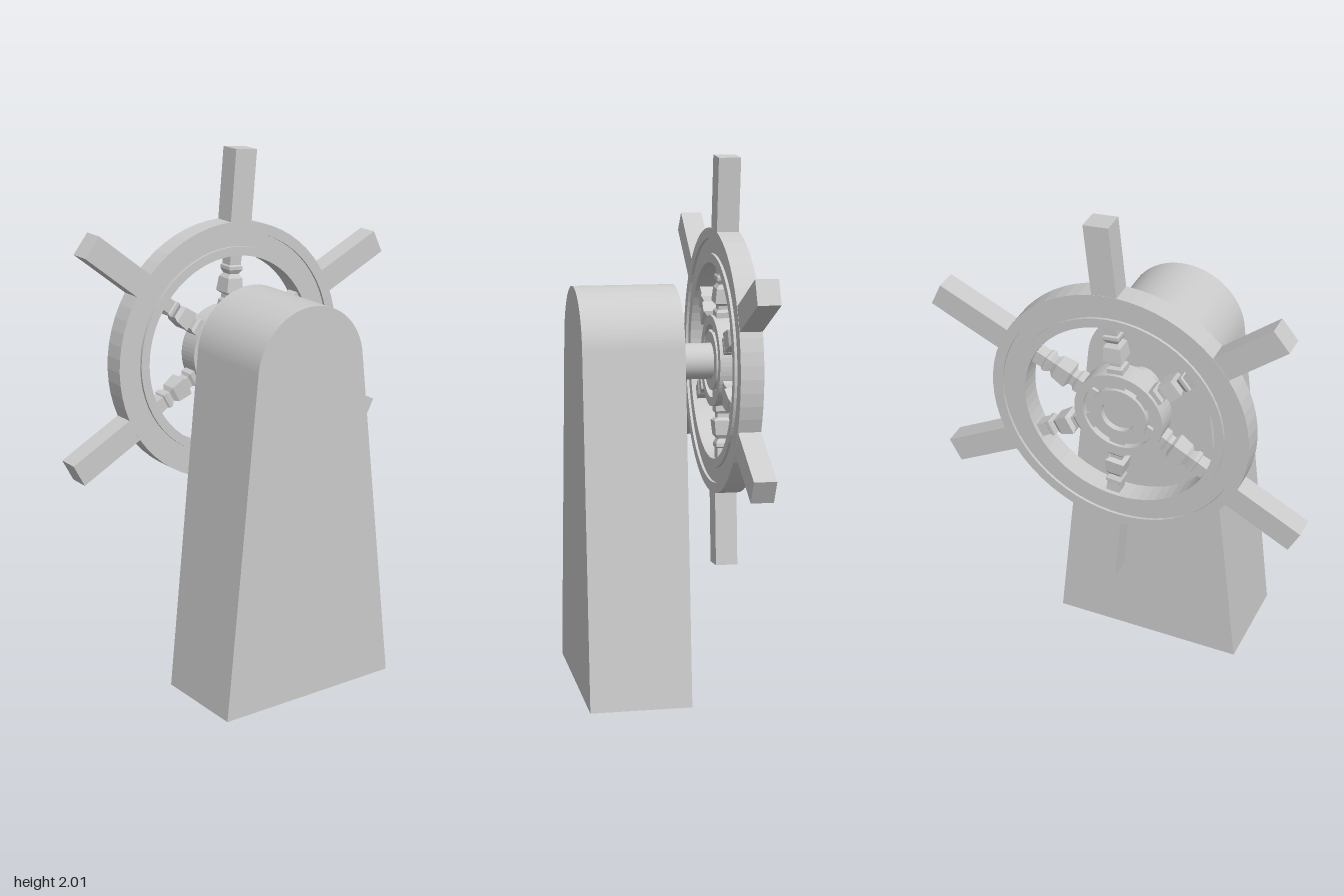
import * as THREE from 'three';

const material = new THREE.MeshStandardMaterial({ color: 0xcccccc });
const flatMaterial = new THREE.MeshStandardMaterial({ color: 0xcccccc, flatShading: true });
const rad = THREE.MathUtils.degToRad;

function add(parent, name, geometry, mat = material) {
  const mesh = new THREE.Mesh(geometry, mat);
  mesh.name = name;
  parent.add(mesh);
  return mesh;
}

// Flat ring around the z axis, centred on z = 0
function ring(inner, outer, depth) {
  const shape = new THREE.Shape().absarc(0, 0, outer, 0, Math.PI * 2);
  shape.holes.push(new THREE.Path().absarc(0, 0, inner, 0, Math.PI * 2, true));
  return new THREE.ExtrudeGeometry(shape, { depth, bevelEnabled: false, curveSegments: 32 })
    .translate(0, 0, -depth / 2);
}

// Square-section turned spoke along +x; profile holds [half width, distance from hub]
function spokeGeometry() {
  const profile = [
    [0.03, 0.1], [0.03, 0.19], [0.022, 0.2], [0.022, 0.215], [0.037, 0.225],
    [0.032, 0.28], [0.021, 0.295], [0.03, 0.312], [0.03, 0.325], [0.025, 0.33], [0.027, 0.39],
  ].map(([w, d]) => new THREE.Vector2(w * Math.SQRT2, d));
  return new THREE.LatheGeometry(profile, 4).rotateY(Math.PI / 4).rotateZ(-Math.PI / 2);
}

export function createModel() {
  const model = new THREE.Group();
  model.name = 'shipWheelOnStand';

  // Tapered stand with a rounded top
  const lean = 0.11, r = 0.235, cy = 1.29;
  const outline = new THREE.Shape();
  outline.moveTo(-0.378, 0);
  outline.lineTo(0.378, 0);
  outline.absarc(0, cy, r, lean, Math.PI - lean);
  outline.closePath();
  const stand = add(model, 'stand',
    new THREE.ExtrudeGeometry(outline, { depth: 0.38, bevelEnabled: false, curveSegments: 32 }));
  stand.position.set(-0.034, 0, -0.075);

  // Axle between stand and wheel
  const axle = add(model, 'axle',
    new THREE.CylinderGeometry(0.068, 0.068, 0.21, 32).rotateX(Math.PI / 2));
  axle.position.set(-0.02, 1.235, -0.16);

  const wheel = new THREE.Group();
  wheel.name = 'wheel';
  wheel.position.set(-0.02, 1.235, -0.258);
  model.add(wheel);

  // Rim: two full-depth bands with a shallow groove between
  add(wheel, 'rimOuterBand', ring(0.46, 0.5, 0.085));
  add(wheel, 'rimGroove', ring(0.405, 0.46, 0.065));
  add(wheel, 'rimInnerBand', ring(0.37, 0.405, 0.085));

  // Hub: raised rings around a recessed centre
  add(wheel, 'hubOuterRing', ring(0.138, 0.172, 0.085));
  add(wheel, 'hubWeb', ring(0.105, 0.138, 0.035));
  add(wheel, 'hubInnerRing', ring(0.066, 0.11, 0.085));
  add(wheel, 'hubCentre',
    new THREE.CylinderGeometry(0.067, 0.067, 0.04, 32).rotateX(Math.PI / 2));

  // Six slightly uneven arms: turned spoke inside, square handle outside
  const spoke = spokeGeometry();
  const arms = [[84.4, 0.77], [25, 0.785], [-28.2, 0.773], [-85, 0.773], [207.8, 0.773], [141, 0.77]];
  for (const [angle, reach] of arms) {
    const arm = new THREE.Group();
    arm.name = 'arm';
    arm.rotation.z = rad(angle);
    wheel.add(arm);
    add(arm, 'spoke', spoke, flatMaterial);
    const start = 0.475;
    const handle = add(arm, 'handle', new THREE.BoxGeometry(reach - start, 0.095, 0.083));
    handle.position.x = (start + reach) / 2;
  }
  return model;
}
